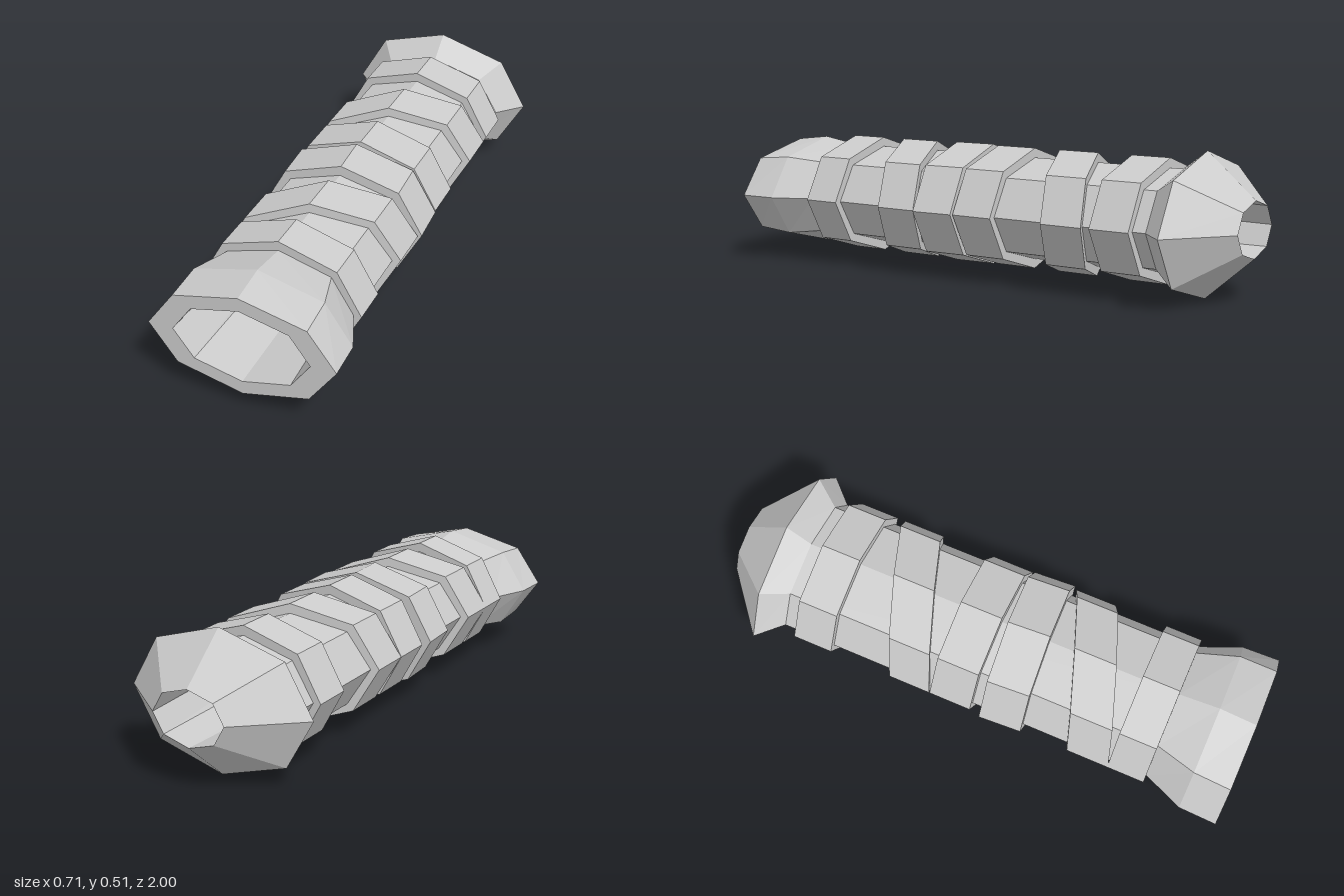
import * as THREE from 'three';

const SIDES = 8;
const CENTRE_Y = 0.255;
const material = new THREE.MeshStandardMaterial({ color: 0xcccccc, flatShading: true });

// Sweeps a closed profile of [z, radiusX, radiusY] around the z axis as an oval octagon.
// shear slides each point along z in proportion to its x.
function ovalRing(name, profile, shear = 0) {
  const point = ([z, rx, ry], i) => {
    const a = (i / SIDES) * Math.PI * 2;
    const x = rx * Math.cos(a);
    return [x, ry * Math.sin(a), z + shear * x];
  };
  const positions = [];
  profile.forEach((from, j) => {
    const to = profile[(j + 1) % profile.length];
    for (let i = 0; i < SIDES; i++) {
      const a = point(from, i), b = point(from, i + 1);
      const c = point(to, i), d = point(to, i + 1);
      positions.push(...a, ...c, ...d, ...a, ...d, ...b);
    }
  });
  const geometry = new THREE.BufferGeometry();
  geometry.setAttribute('position', new THREE.Float32BufferAttribute(positions, 3));
  geometry.computeVertexNormals();
  const mesh = new THREE.Mesh(geometry, material);
  mesh.name = name;
  mesh.position.y = CENTRE_Y;
  return mesh;
}

// A raised band whose inner edge is sunk into the grip
function band(name, front, back, rx, ry, shear) {
  return ovalRing(name, [
    [front, rx, ry], [back, rx, ry],
    [back, 0.25, 0.175], [front, 0.25, 0.175],
  ], shear);
}

export function createModel() {
  const model = new THREE.Group();
  model.name = 'handle';

  // Hollow grip: flared collar, straight core, pointed pommel, tapering bore
  model.add(ovalRing('gripBody', [
    [1, 0.335, 0.193],
    [0.86, 0.33, 0.21],
    [0.71, 0.267, 0.187],
    [-0.73, 0.267, 0.187],
    [-0.82, 0.355, 0.255],
    [-1, 0.138, 0.099],
    [1, 0.245, 0.142],
  ]));

  // Straight bands
  [[0.71, 0.57], [0.03, -0.13], [-0.53, -0.68]].forEach(([front, back], i) =>
    model.add(band(`straightBand${i + 1}`, front, back, 0.295, 0.222)));

  // Slanted wraps
  [[0.47, 0.31], [-0.235, -0.395]].forEach(([front, back], i) =>
    model.add(band(`slantedBand${i + 1}`, front, back, 0.295, 0.222, -0.35)));

  // Slightly turned middle band
  const middle = band('middleBand', 0.08, -0.08, 0.303, 0.225);
  middle.position.z = 0.135;
  middle.rotation.y = 0.055;
  model.add(middle);

  return model;
}
